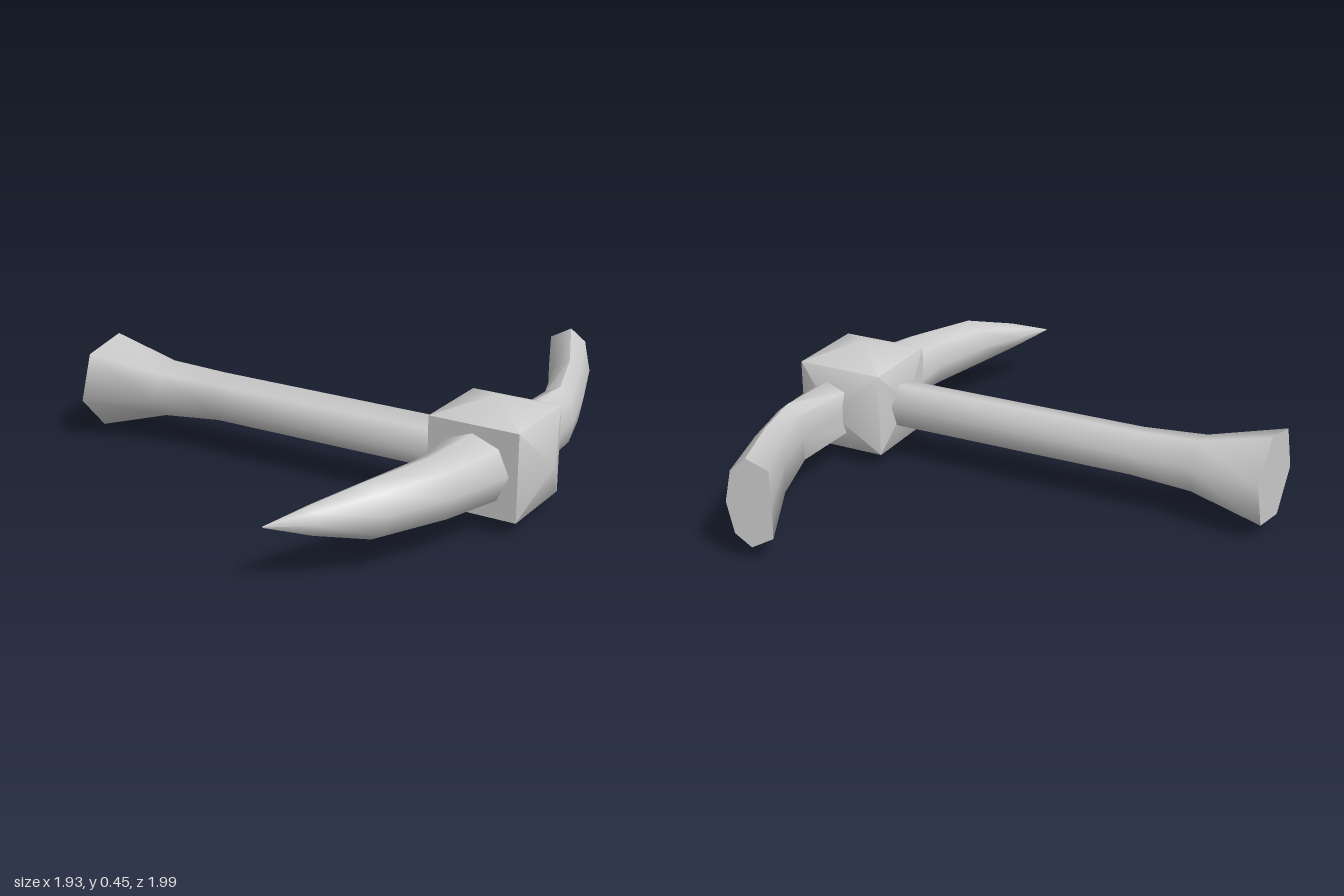
import * as THREE from 'three';
import { toCreasedNormals } from 'three/addons/utils/BufferGeometryUtils.js';

const CREASE = 1.1;

function finish(name, points, index) {
  const g = new THREE.BufferGeometry();
  g.setAttribute('position', new THREE.Float32BufferAttribute(points, 3));
  g.setIndex(index);
  const mesh = new THREE.Mesh(
    toCreasedNormals(g, CREASE),
    new THREE.MeshStandardMaterial({ color: 0xcccccc })
  );
  mesh.name = name;
  return mesh;
}

// Skins sections [x0, z0, x1, z1, centreY, halfHeight]: each is an upright
// ring whose horizontal axis runs from (x0, z0) to (x1, z1).
// ring holds the unit [across, up] corners, counter-clockwise.
function loft(name, sections, ring) {
  const n = ring.length, points = [], index = [];
  for (const [x0, z0, x1, z1, cy, h] of sections) {
    for (const [u, v] of ring) {
      points.push((x0 + x1) / 2 + u * (x1 - x0) / 2, cy + v * h, (z0 + z1) / 2 + u * (z1 - z0) / 2);
    }
  }
  for (let s = 0; s < sections.length - 1; s++) {
    for (let i = 0; i < n; i++) {
      const a = s * n + i, b = s * n + (i + 1) % n;
      index.push(a, b, b + n, a, b + n, a + n);
    }
  }
  // end caps
  const last = (sections.length - 1) * n;
  for (let i = 1; i < n - 1; i++) {
    index.push(0, i + 1, i, last, last + i, last + i + 1);
  }
  return finish(name, points, index);
}

function polygon(sides, turn = 0) {
  return Array.from({ length: sides }, (_, i) => {
    const a = turn + i / sides * Math.PI * 2;
    return [Math.cos(a), Math.sin(a)];
  });
}

// Cube with a low pyramid on each face
function createHead() {
  const c = [0.73, 0.225, 0.03], half = [0.175, 0.165, 0.17];
  const peak = [[0.2, 0.235], [0.225, 0.225], [0.235, 0.17]]; // [negative, positive]
  const points = [], index = [];
  for (let axis = 0; axis < 3; axis++) {
    const b = (axis + 1) % 3, d = (axis + 2) % 3;
    for (const sign of [-1, 1]) {
      const start = points.length / 3;
      const apex = [...c];
      apex[axis] += sign * peak[axis][(sign + 1) / 2];
      points.push(...apex);
      for (const [u, v] of [[-1, -1], [1, -1], [1, 1], [-1, 1]]) {
        const p = [...c];
        p[axis] += sign * half[axis];
        p[b] += u * half[b];
        p[d] += v * half[d];
        points.push(...p);
      }
      for (let i = 0; i < 4; i++) {
        const p = start + 1 + i, q = start + 1 + (i + 1) % 4;
        index.push(start, ...(sign > 0 ? [p, q] : [q, p]));
      }
    }
  }
  return finish('head', points, index);
}

export function createModel() {
  const model = new THREE.Group();
  model.name = 'pickaxe';
  model.add(createHead());

  // Six-sided handle, flaring at the butt
  model.add(loft('handle', [
    [0.62, -0.07, 0.62, 0.12, 0.22, 0.094],
    [-0.45, -0.062, -0.45, 0.132, 0.22, 0.094],
    [-0.69, -0.064, -0.69, 0.165, 0.215, 0.11],
    [-0.97, -0.115, -0.97, 0.265, 0.21, 0.187]
  ], polygon(6, -0.21)));

  // Curved spike tapering to a point
  model.add(loft('spike', [
    [0.58, 0.12, 0.885, 0.12, 0.225, 0.137],
    [0.583, 0.2, 0.87, 0.21, 0.225, 0.133],
    [0.593, 0.41, 0.8, 0.46, 0.225, 0.12],
    [0.535, 0.66, 0.69, 0.71, 0.225, 0.107],
    [0.455, 0.83, 0.53, 0.89, 0.225, 0.055],
    [0.388, 0.988, 0.392, 0.992, 0.225, 0.002]
  ], polygon(8)));

  // Adze blade, flat on its inner side, widening to the cutting end
  const bladeRing = polygon(8);
  bladeRing[3] = [-0.97, 0.76];
  bladeRing[5] = [-0.97, -0.76];
  model.add(loft('blade', [
    [0.49, -0.955, 0.65, -1, 0.228, 0.172],
    [0.635, -0.67, 0.76, -0.69, 0.226, 0.143],
    [0.71, -0.43, 0.835, -0.43, 0.225, 0.125],
    [0.685, -0.14, 0.87, -0.14, 0.225, 0.11]
  ], bladeRing));

  return model;
}
